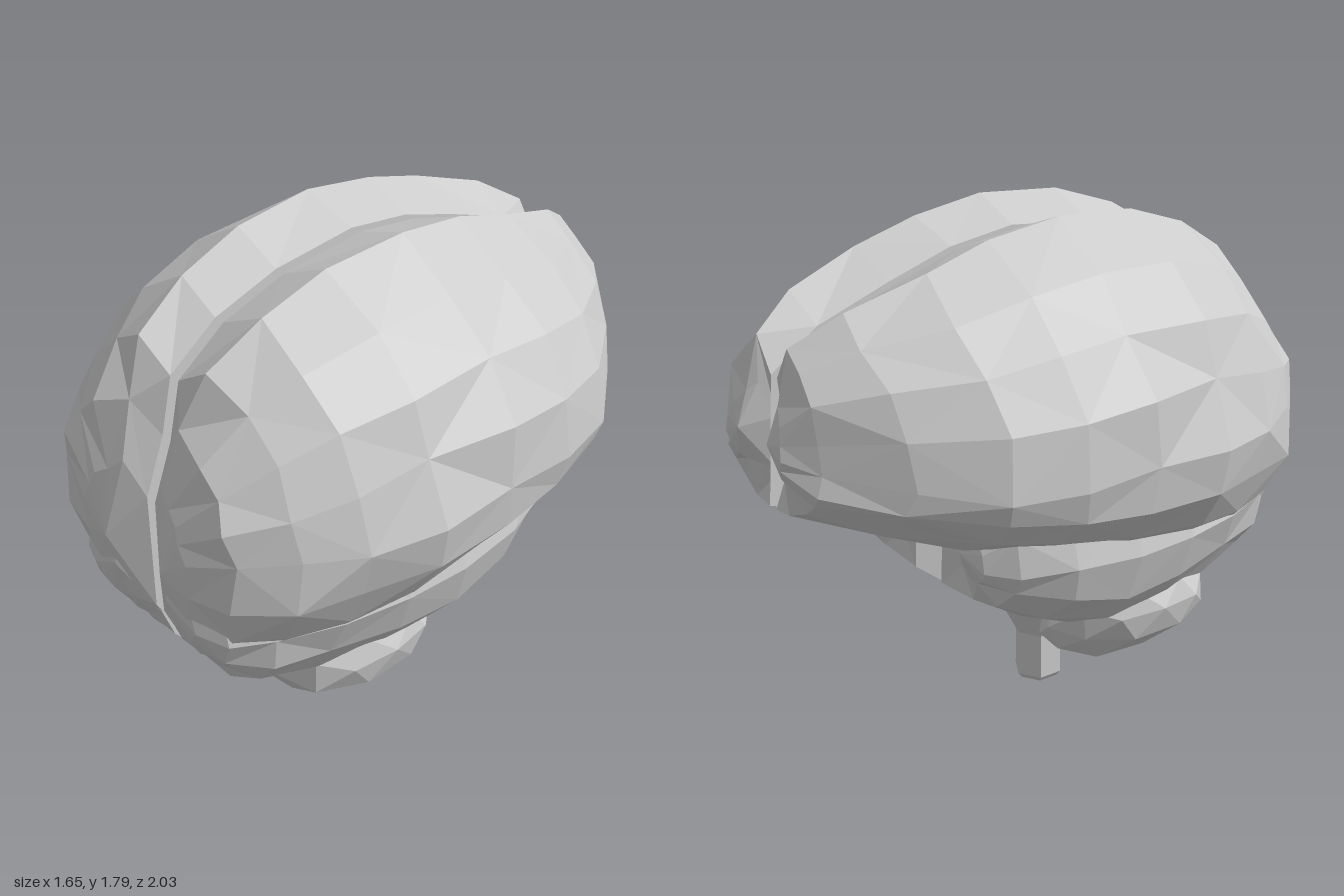
import * as THREE from 'three';
import { mergeVertices } from 'three/addons/utils/BufferGeometryUtils.js';

const material = new THREE.MeshStandardMaterial({ color: 0xcccccc, flatShading: true, side: THREE.DoubleSide });

// repeatable noise in -1..1
const noise = (a, b, c) => {
  const s = Math.sin(a * 12.99 + b * 78.23 + c * 37.72) * 43758.55;
  return (s - Math.floor(s)) * 2 - 1;
};

// Loft of half-oval rings with a flat inner wall; station = [z, top, bottom, inner x, outer x, y of widest point]
function loft(stations, side, steps, wobble, shape) {
  const pos = [], idx = [], n = steps + 1;
  const tri = (a, b, c) => idx.push(...(side > 0 ? [a, b, c] : [a, c, b]));
  stations.forEach(([z, top, bottom, inner, outer, mid], i) => {
    for (let j = 0; j < n; j++) {
      const t = Math.PI * (0.5 - j / steps), c = Math.max(0, Math.cos(t)), s = Math.sin(t);
      const edge = j === 0 || j === steps;
      const p = new THREE.Vector3(
        inner + (outer - inner) * c ** (s > 0 ? 1.1 : 0.92),
        mid + (s > 0 ? top - mid : mid - bottom) * s,
        z);
      // rounded inner corner at the ends
      if (i > stations.length - 3) p.z -= 0.08 * (1 - c);
      if (i === 0) p.z += 0.1 * (1 - c);
      if (!edge) p.x += wobble * noise(i, j, 1);
      p.y += wobble * 0.8 * noise(i, j, 2);
      if (i > 0 && i < stations.length - 1) p.z += wobble * 1.6 * noise(i, j, 3);
      if (shape) shape(p, j, top);
      pos.push(p.x * side, p.y, p.z);
    }
  });
  for (let i = 0; i < stations.length - 1; i++) {
    for (let j = 0; j < n; j++) {
      const k = (j + 1) % n;
      const a = i * n + j, b = i * n + k, d = a + n, c = b + n;
      if ((i + j) % 2) { tri(a, d, b); tri(d, c, b); } else { tri(a, d, c); tri(a, c, b); }
    }
  }
  // end caps
  for (const i of [0, stations.length - 1]) {
    const [z, top, bottom, inner, outer] = stations[i], centre = pos.length / 3;
    pos.push(side * (inner + outer) / 2, (top + bottom) / 2, z + (i ? 0.01 : 0));
    for (let j = 0; j < n; j++) {
      const a = i * n + j, b = i * n + (j + 1) % n;
      if (i) tri(centre, b, a); else tri(centre, a, b);
    }
  }
  const g = new THREE.BufferGeometry();
  g.setAttribute('position', new THREE.Float32BufferAttribute(pos, 3));
  g.setIndex(idx);
  g.computeVertexNormals();
  return g;
}

// Lumpy low-poly ellipsoid, tilted upward to the outside
function lobe(side) {
  let g = new THREE.IcosahedronGeometry(1, 1);
  g.deleteAttribute('normal');
  g.deleteAttribute('uv');
  g = mergeVertices(g, 1e-3);
  const p = g.attributes.position, v = new THREE.Vector3();
  for (let i = 0; i < p.count; i++) {
    v.fromBufferAttribute(p, i).multiplyScalar(1 + 0.06 * noise(i, 5, 2));
    v.x = Math.max(v.x, -0.93);
    p.setXYZ(i, side * (0.25 + v.x * 0.26), 0.335 + v.y * 0.185 + v.x * 0.08, 0.27 + v.z * 0.33);
  }
  if (side < 0) {
    const a = g.index.array;
    for (let i = 0; i < a.length; i += 3) [a[i + 1], a[i + 2]] = [a[i + 2], a[i + 1]];
  }
  g.computeVertexNormals();
  return g;
}

const IN = 0.02;
const upper = [
  [-1.03, 1.34, 1.06, IN, 0.17, 1.17],
  [-0.95, 1.49, 0.94, IN, 0.30, 1.13],
  [-0.77, 1.59, 0.87, IN, 0.50, 1.1],
  [-0.52, 1.68, 0.79, IN, 0.68, 1.07],
  [-0.27, 1.75, 0.70, IN, 0.74, 1.06],
  [0, 1.79, 0.60, IN, 0.75, 1.07],
  [0.3, 1.77, 0.55, IN, 0.735, 1.07],
  [0.55, 1.69, 0.50, IN, 0.67, 1.07],
  [0.75, 1.57, 0.48, IN, 0.57, 1.07],
  [0.9, 1.39, 0.52, IN, 0.44, 1.06],
  [0.96, 1.2, 0.64, IN, 0.26, 1.0],
];
const lower = [
  [-0.47, 0.88, 0.64, 0.18, 0.44, 0.74],
  [-0.38, 1.05, 0.53, 0.08, 0.54, 0.73],
  [-0.2, 1.2, 0.40, IN, 0.59, 0.72],
  [0.05, 1.25, 0.30, IN, 0.60, 0.7],
  [0.3, 1.25, 0.29, IN, 0.575, 0.7],
  [0.55, 1.25, 0.33, IN, 0.52, 0.7],
  [0.75, 1.2, 0.39, IN, 0.45, 0.7],
  [0.88, 1.1, 0.49, IN, 0.36, 0.72],
  [0.94, 1.0, 0.60, IN, 0.25, 0.74],
];

export function createModel() {
  const model = new THREE.Group();
  model.name = 'brain';
  const body = new THREE.Group();
  body.name = 'turnedBody';
  body.rotation.y = -0.38;
  model.add(body);
  const add = (name, geometry) => {
    const m = new THREE.Mesh(geometry, material);
    m.name = name;
    body.add(m);
    return m;
  };

  for (const [side, label] of [[1, 'left'], [-1, 'right']]) {
    // main hemisphere: crest beside a sunken inner edge, flanks drawn in toward the rear
    add(label + 'Hemisphere', loft(upper, side, 10, 0.015, (p, j, top) => {
      if (j === 0) p.y -= 0.06 + 0.05 * Math.abs(p.z);
      if (j === 1) p.y = top;
      if (j === 4 && p.z > 0.2) p.x *= 0.95;
    }));
    // temporal and occipital lobe beneath it
    add(label + 'LowerLobe', loft(lower, side, 8, 0.014));
    add(label + 'Cerebellum', lobe(side));
  }

  // brain stem: hexagonal stalk flaring into the underside
  const profile = [[0, 0], [0.075, 0], [0.09, 0.02], [0.088, 0.19], [0.16, 0.32], [0.19, 0.43], [0, 0.5]];
  const stem = add('brainStem', new THREE.LatheGeometry(profile.map(([r, y]) => new THREE.Vector2(r, y)), 6));
  stem.position.z = 0.09;

  return model;
}
